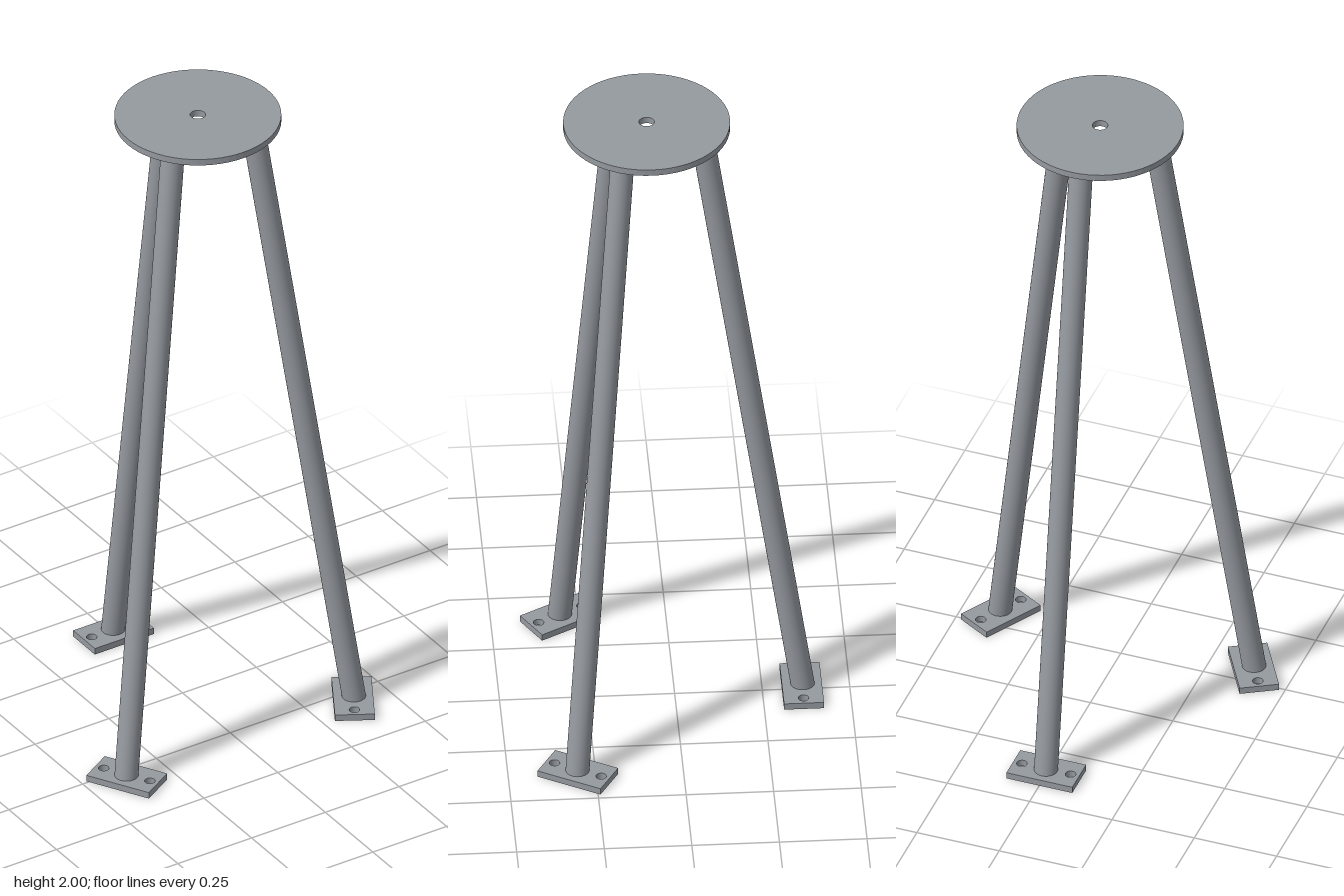
import * as THREE from 'three';

const CENTER_Z = 0.08;      // axis of the tripod
const PLATE = 0.02;         // plate thickness
const TOP_Y = 2 - PLATE;    // underside of the top disc
const LEG_R = 0.034;
const FOOT_RADIUS = 0.445, HEAD_RADIUS = 0.153; // leg axis distance from centre, bottom and top

function circle(path, x, y, r) {
  return path.absarc(x, y, r, 0, Math.PI * 2, false);
}

// Extrude a shape into a horizontal plate whose underside is at y = 0
function plate(shape) {
  const g = new THREE.ExtrudeGeometry(shape, { depth: PLATE, bevelEnabled: false, curveSegments: 32 });
  return g.rotateX(-Math.PI / 2);
}

function named(geometry, material, name) {
  const mesh = new THREE.Mesh(geometry, material);
  mesh.name = name;
  return mesh;
}

export function createModel() {
  const model = new THREE.Group();
  model.name = 'tripodStand';
  const steel = new THREE.MeshStandardMaterial({ color: 0x959aa0 });
  steel.name = 'steel grey';

  // Round top plate with a centre hole
  const disc = circle(new THREE.Shape(), 0, 0, 0.238);
  disc.holes.push(circle(new THREE.Path(), 0, 0, 0.022));
  const top = named(plate(disc), steel, 'topPlate');
  top.position.set(0, TOP_Y, CENTER_Z);
  model.add(top);

  // Rectangular foot with two bolt holes
  const w = 0.1, d = 0.057;
  const rect = new THREE.Shape([[-w, -d], [w, -d], [w, d], [-w, d]].map(p => new THREE.Vector2(...p)));
  for (const s of [-1, 1]) rect.holes.push(circle(new THREE.Path(), s * 0.074, 0, 0.015));
  const footGeometry = plate(rect);

  // Leaning leg: a cylinder sheared so both ends stay horizontal
  const height = TOP_Y - PLATE;
  const slope = (FOOT_RADIUS - HEAD_RADIUS) / height;
  const legGeometry = new THREE.CylinderGeometry(LEG_R, LEG_R, height, 40);
  legGeometry.scale(1, 1, Math.hypot(1, slope));
  legGeometry.applyMatrix4(new THREE.Matrix4().set(
    1, 0, 0, 0,
    0, 1, 0, (TOP_Y + PLATE) / 2,
    0, slope, 1, -(FOOT_RADIUS + HEAD_RADIUS) / 2,
    0, 0, 0, 1));

  // Three legs spaced evenly around the axis
  ['back', 'left', 'right'].forEach((side, i) => {
    const leg = new THREE.Group();
    leg.name = side + 'Leg';
    const foot = named(footGeometry, steel, side + 'Foot');
    foot.position.z = -0.443;
    leg.add(named(legGeometry, steel, side + 'Tube'), foot);
    leg.position.z = CENTER_Z;
    leg.rotation.y = -i * Math.PI * 2 / 3;
    model.add(leg);
  });
  return model;
}
